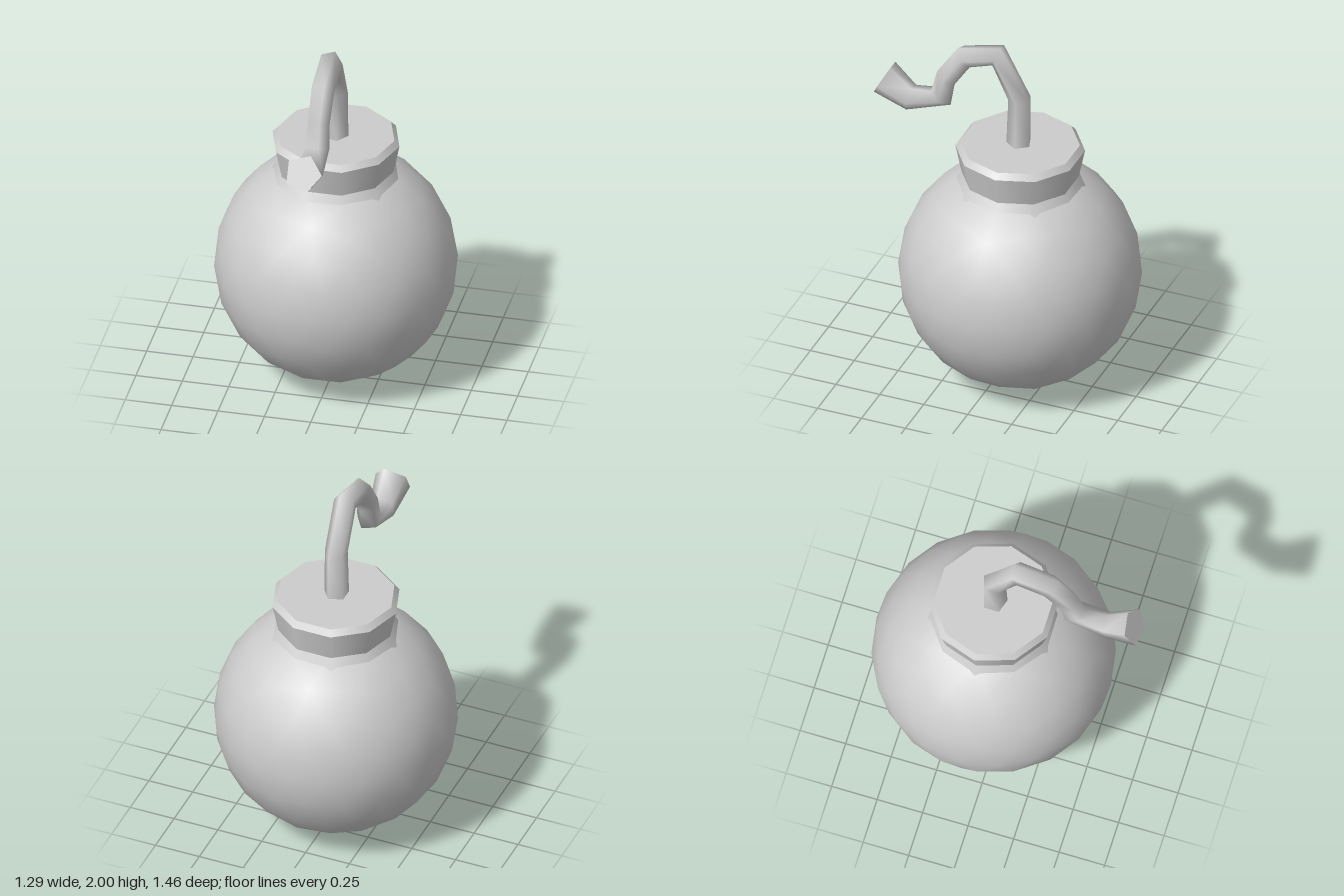
import * as THREE from 'three';

const grey = new THREE.MeshStandardMaterial({ color: 0xcccccc });
grey.name = 'grey';

const CENTRE_Z = -0.09;

function addMesh(parent, name, geometry) {
  const mesh = new THREE.Mesh(geometry, grey);
  mesh.name = name;
  parent.add(mesh);
  return mesh;
}

// Icosphere, halved twice, with a corner at the pole and a corner of the upper ring facing +x
function icosphere(radius) {
  const base = new THREE.IcosahedronGeometry(1, 1);
  const corners = Array.from(base.attributes.position.array);
  const faces = Array.from({ length: corners.length / 3 }, (_, i) => i);
  const geometry = new THREE.PolyhedronGeometry(corners, faces, radius, 1);
  geometry.rotateX(-Math.atan((1 + Math.sqrt(5)) / 2));
  geometry.rotateY(Math.PI / 2);
  return geometry;
}

function geometryFrom(points, indices) {
  const geometry = new THREE.BufferGeometry().setFromPoints(points);
  geometry.setIndex(indices);
  geometry.computeVertexNormals();
  return geometry;
}

// Fuse cross-sections: outer edge (z, y) and inner edge (z, y)
const FUSE_RINGS = [
  [-0.15, 1.42, -0.02, 1.42],
  [-0.15, 1.70, -0.03, 1.69],
  [0.015, 2.00, 0.06, 1.885],
  [0.26, 1.94, 0.19, 1.84],
  [0.375, 1.77, 0.276, 1.71],
  [0.41, 1.635, 0.297, 1.58],
  [0.52, 1.625, 0.55, 1.488],
  [0.637, 1.73, 0.73, 1.56],
];
const SIDES = 5;

function fuseRing([outerZ, outerY, innerZ, innerY]) {
  const centre = new THREE.Vector3(0, (outerY + innerY) / 2, (outerZ + innerZ) / 2);
  const up = new THREE.Vector3(0, outerY, outerZ).sub(centre)
    .divideScalar(Math.sin((2 * Math.PI) / SIDES));
  const radius = up.length();
  return Array.from({ length: SIDES }, (_, k) => {
    const angle = (k * 2 * Math.PI) / SIDES;
    const p = centre.clone().addScaledVector(up, Math.sin(angle));
    p.x = radius * Math.cos(angle);
    return p;
  });
}

function createFuse() {
  const fuse = new THREE.Group();
  fuse.name = 'fuse';
  const rings = FUSE_RINGS.map(fuseRing);
  const indices = [];
  for (let i = 0; i < rings.length - 1; i++) {
    for (let k = 0; k < SIDES; k++) {
      const a = i * SIDES + k;
      const b = i * SIDES + ((k + 1) % SIDES);
      indices.push(a, b, a + SIDES, b, b + SIDES, a + SIDES);
    }
  }
  addMesh(fuse, 'fuseCord', geometryFrom(rings.flat(), indices));

  // Flat end of the cord
  const endIndices = [];
  for (let k = 1; k < SIDES - 1; k++) endIndices.push(0, k, k + 1);
  addMesh(fuse, 'fuseEnd', geometryFrom(rings[rings.length - 1], endIndices));
  return fuse;
}

// Ten-sided collar: each band smooth around, with sharp edges between bands
function createCollar() {
  const collar = new THREE.Group();
  collar.name = 'collar';
  const bands = [
    ['collarFlare', 0.35, 1.17, 0.31, 1.235],
    ['collarBand', 0.31, 1.235, 0.342, 1.395],
    ['collarBevel', 0.342, 1.395, 0.315, 1.427],
  ];
  for (const [name, r0, y0, r1, y1] of bands) {
    const geometry = new THREE.CylinderGeometry(r1, r0, y1 - y0, 10, 1, true);
    geometry.rotateY(Math.PI / 10);
    geometry.translate(0, (y0 + y1) / 2, 0);
    addMesh(collar, name, geometry);
  }
  const lid = new THREE.CircleGeometry(0.315, 10);
  lid.rotateX(-Math.PI / 2);
  lid.translate(0, 1.427, 0);
  addMesh(collar, 'lid', lid);
  collar.position.z = CENTRE_Z;
  return collar;
}

export function createModel() {
  const model = new THREE.Group();
  model.name = 'roundBomb';
  addMesh(model, 'body', icosphere(0.643)).position.set(0, 0.645, CENTRE_Z);
  model.add(createCollar(), createFuse());
  return model;
}
